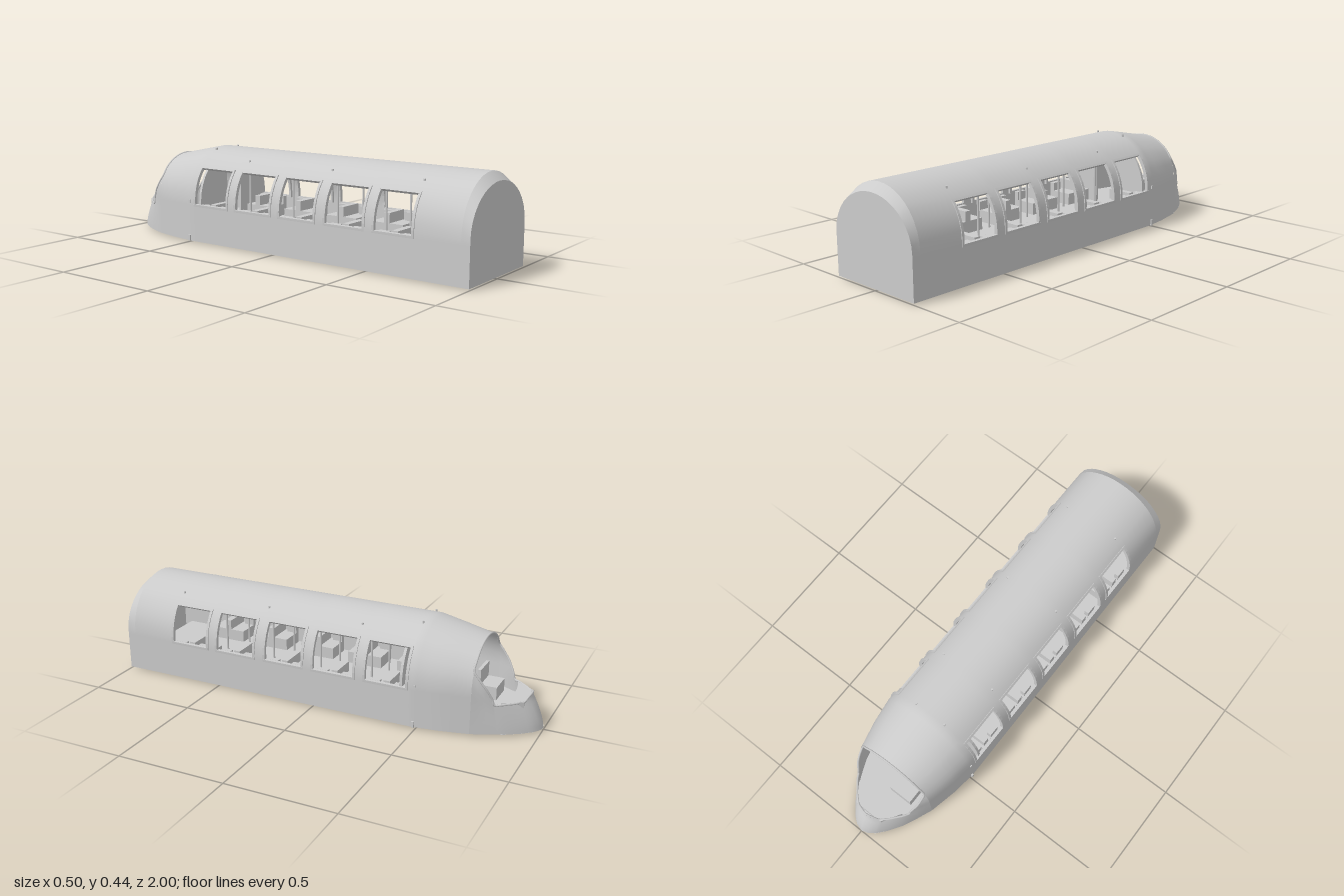
import * as THREE from 'three';

const mat = new THREE.MeshStandardMaterial({ color: 0xcccccc, side: THREE.DoubleSide });
const BASE = 0.007, SHOULDER = 0.2, FLOOR = 0.09;

// Piecewise linear lookup in [[z, value], ...] with falling z
function lerpTable(table, z) {
  for (let i = 1; i < table.length; i++) {
    const [z0, a] = table[i - 1], [z1, b] = table[i];
    if (z >= z1) return a + (b - a) * (z0 - z) / (z0 - z1);
  }
  return table[table.length - 1][1];
}
const PLAN = [[1, 0.242], [-0.48, 0.242], [-0.6, 0.226], [-0.73, 0.197], [-0.8, 0.168], [-0.87, 0.135],
  [-0.93, 0.095], [-0.97, 0.06], [-0.99, 0.033], [-1, 0]];
const ROOF = [[1, 0.407], [0.96, 0.443], [-0.48, 0.443], [-0.73, 0.39], [-0.83, 0.34], [-1, 0.3]];
const CUT = [[-0.73, 0.29], [-0.8, 0.215], [-0.833, 0.165], [-0.84, 0.14], [-0.97, 0.14], [-0.99, 0.155], [-1, 0.165]];
const ANGLES = [0, 0.18, 0.36, 0.54, 0.719, 0.85, 1.0, 1.14, 1.28, 1.43];
const WINDOWS = [[0.545, 0.745], [0.295, 0.505], [0.045, 0.25], [-0.21, 0.005], [-0.46, -0.25]];

// Half width of the hull at a given station and height
function halfWidth(z, y) {
  const w = lerpTable(PLAN, z), t = (y - SHOULDER) / (lerpTable(ROOF, z) - SHOULDER);
  return t <= 0 ? w : w * Math.sqrt(Math.max(0, 1 - t * t));
}

// Arched cross-section, from the +x sill over the roof to the -x sill
function section(z) {
  const w = lerpTable(PLAN, z), h = lerpTable(ROOF, z);
  const half = [BASE, 0.1, 0.18].map(y => [w, y]);
  ANGLES.forEach(a => half.push([w * Math.cos(a), SHOULDER + (h - SHOULDER) * Math.sin(a)]));
  const mirrored = half.map(([x, y]) => [-x, y]).reverse();
  return [...half, [0, h], ...mirrored].map(([x, y]) => new THREE.Vector3(x, y, z));
}

// Surface through rows of points; cells for which skip() is true stay open
function skin(rows, skip = () => false) {
  const n = rows[0].length, index = [];
  for (let i = 0; i < rows.length - 1; i++) for (let j = 0; j < n - 1; j++) {
    if (skip(i, j)) continue;
    const a = i * n + j, b = a + n;
    index.push(a, b, a + 1, a + 1, b, b + 1);
  }
  const g = new THREE.BufferGeometry().setFromPoints(rows.flat());
  g.setIndex(index);
  g.computeVertexNormals();
  return g;
}

function sectionShape(z, k = 1) {
  return new THREE.Shape(section(z).map(p => new THREE.Vector2(p.x * k, BASE + (p.y - BASE) * k)));
}

// Curved side strip between two angles, offset outward from d0 to d1
function stripShape(a0, a1, d0, d1) {
  const pt = (a, d) => new THREE.Vector2((0.242 + d) * Math.cos(a), SHOULDER + (0.243 + d) * Math.sin(a));
  const pts = [];
  for (let i = 0; i <= 6; i++) pts.push(pt(a0 + (a1 - a0) * i / 6, d1));
  for (let i = 6; i >= 0; i--) pts.push(pt(a0 + (a1 - a0) * i / 6, d0));
  return new THREE.Shape(pts);
}

export function createModel() {
  const root = new THREE.Group();
  const add = (name, geometry, parent = root) => {
    const m = new THREE.Mesh(geometry, mat);
    m.name = name;
    parent.add(m);
    return m;
  };
  const box = (name, x0, x1, y0, y1, z0, z1, parent) =>
    add(name, new THREE.BoxGeometry(x1 - x0, y1 - y0, z1 - z0), parent)
      .position.set((x0 + x1) / 2, (y0 + y1) / 2, (z0 + z1) / 2);

  // Main shell with window openings
  const stations = [0.96, ...WINDOWS.flatMap(([a, b]) => [b, a]), -0.48, -0.5, -0.55, -0.6, -0.65, -0.7, -0.73];
  const rows = stations.map(section), last = rows[0].length - 1;
  add('bodyShell', skin(rows, (i, j) => {
    const k = Math.min(j, last - 1 - j);
    return i >= 1 && i <= 9 && i % 2 === 1 && k >= 2 && k < 7;
  }));

  // Chamfered flat end
  add('endChamfer', skin([section(1), section(0.96)]));
  add('endWall', new THREE.ShapeGeometry(sectionShape(1))).position.z = 1;

  // Nose, wrapped from one cockpit side around the tip to the other
  const noseZ = [-0.73, -0.755, -0.78, -0.8, -0.833, -0.84, -0.87, -0.9, -0.93, -0.955, -0.97, -0.99, -1];
  const noseColumn = (z, side) => Array.from({ length: 9 }, (_, j) => {
    const y = BASE + (lerpTable(CUT, z) - BASE) * j / 8;
    const shrink = 1 - 0.22 * Math.min(1, y / 0.15) ** 1.5;
    return new THREE.Vector3(side * halfWidth(z, y), y, -0.73 + (z + 0.73) * shrink);
  });
  const noseRows = [...noseZ.map(z => noseColumn(z, 1)), ...noseZ.slice(0, -1).reverse().map(z => noseColumn(z, -1))];
  add('nose', skin(noseRows));

  // Rim around the windscreen opening
  const arch = section(-0.73).filter(p => p.y > 0.3).reverse();
  const rim = new THREE.CatmullRomCurve3([...noseRows.map(c => c[8]), ...arch], true, 'centripetal');
  add('windscreenRim', new THREE.TubeGeometry(rim, 120, 0.005, 6, true));

  // Underside and floor follow the plan outline
  const outline = [...PLAN, ...PLAN.slice(0, -1).reverse().map(([z, w]) => [z, -w])];
  const plan = k => new THREE.ShapeGeometry(
    new THREE.Shape(outline.map(([z, w]) => new THREE.Vector2(w * k, z * k)))).rotateX(Math.PI / 2);
  add('underside', plan(1)).position.y = BASE;
  add('floor', plan(0.955)).position.y = FLOOR;
  add('underHatch', new THREE.CylinderGeometry(0.055, 0.045, 0.007, 4, 1, false, Math.PI / 4)
    .scale(1.4, 1, 1.2)).position.set(-0.065, 0.0035, -0.725);

  // Raised window frames, both sides
  const windows = new THREE.Group();
  windows.name = 'windowFrames';
  root.add(windows);
  const A0 = -0.1, A1 = 0.719, E = 0.045;
  for (const side of [1, -1]) for (const [z0, z1] of WINDOWS) {
    const frame = new THREE.Group();
    frame.name = 'windowFrame';
    frame.scale.x = side;
    windows.add(frame);
    const bar = (name, a0, a1, from, to) => add(name, new THREE.ExtrudeGeometry(
      stripShape(a0, a1, -0.012, 0.004), { depth: to - from, bevelEnabled: false }), frame).position.z = from;
    bar('frameBottom', A0, A0 + E, z0, z1);
    bar('frameTop', A1 - E, A1, z0, z1);
    bar('frameRear', A0, A1, z0 - 0.002, z0 + 0.01);
    bar('frameFront', A0, A1, z1 - 0.01, z1 + 0.002);
  }

  // Passenger benches and grab poles
  const cabin = new THREE.Group();
  cabin.name = 'cabin';
  root.add(cabin);
  for (const side of [1, -1]) {
    const half = new THREE.Group();
    half.name = 'seatRow';
    half.scale.x = side;
    cabin.add(half);
    for (const [z0, z1] of WINDOWS) {
      const c = (z0 + z1) / 2;
      box('seatCushion', 0.1, 0.222, FLOOR, 0.145, c - 0.085, c + 0.085, half);
      box('seatBack', 0.1, 0.222, 0.145, 0.192, c - 0.015, c + 0.015, half);
      for (const d of [-0.06, 0.06]) box('armrest', 0.2, 0.222, 0.145, 0.184, c + d - 0.025, c + d + 0.025, half);
    }
    for (const z of [0.525, 0.272, 0.025, -0.23]) {
      add('grabPole', new THREE.CylinderGeometry(0.005, 0.005, 0.32, 8), half).position.set(0.1, FLOOR + 0.16, z);
    }
  }

  // Bulkhead with a doorway behind the cockpit
  const wall = sectionShape(-0.43, 0.98);
  wall.holes.push(new THREE.Path([[-0.05, 0.09], [-0.05, 0.34], [0.05, 0.34], [0.05, 0.09]]
    .map(p => new THREE.Vector2(...p))));
  add('bulkhead', new THREE.ExtrudeGeometry(wall, { depth: 0.012, bevelEnabled: false })).position.z = -0.432;

  // Cockpit dashboard and driver's seat
  const dash = new THREE.Shape([[-0.125, -0.84], [-0.07, -0.925], [0.07, -0.925], [0.125, -0.84]]
    .map(p => new THREE.Vector2(...p)));
  dash.quadraticCurveTo(0, -0.88, -0.125, -0.84);
  add('dashboard', new THREE.ExtrudeGeometry(dash, { depth: 0.045, bevelEnabled: false, curveSegments: 10 })
    .rotateX(Math.PI / 2)).position.y = 0.143;
  box('driverSeat', -0.12, -0.005, FLOOR, 0.15, -0.78, -0.69);
  box('driverSeatBack', -0.12, -0.005, 0.15, 0.22, -0.705, -0.69);

  // Small roof lamps, sill blocks and side lamps
  for (const s of [1, -1]) {
    for (const [x, y, z] of [[0.137, 0.4, 0.73], [0.137, 0.4, 0.27], [0.137, 0.4, -0.2], [0.078, 0.433, -0.46]]) {
      add('roofLamp', new THREE.CylinderGeometry(0.005, 0.005, 0.012, 8)).position.set(s * x, y, z);
    }
    box('sillBlock', s * 0.243 - 0.006, s * 0.243 + 0.006, BASE, 0.035, -0.495, -0.485);
    box('sideLamp', s * 0.24 - 0.005, s * 0.24 + 0.005, 0.19, 0.205, -0.495, -0.485);
  }
  return root;
}
